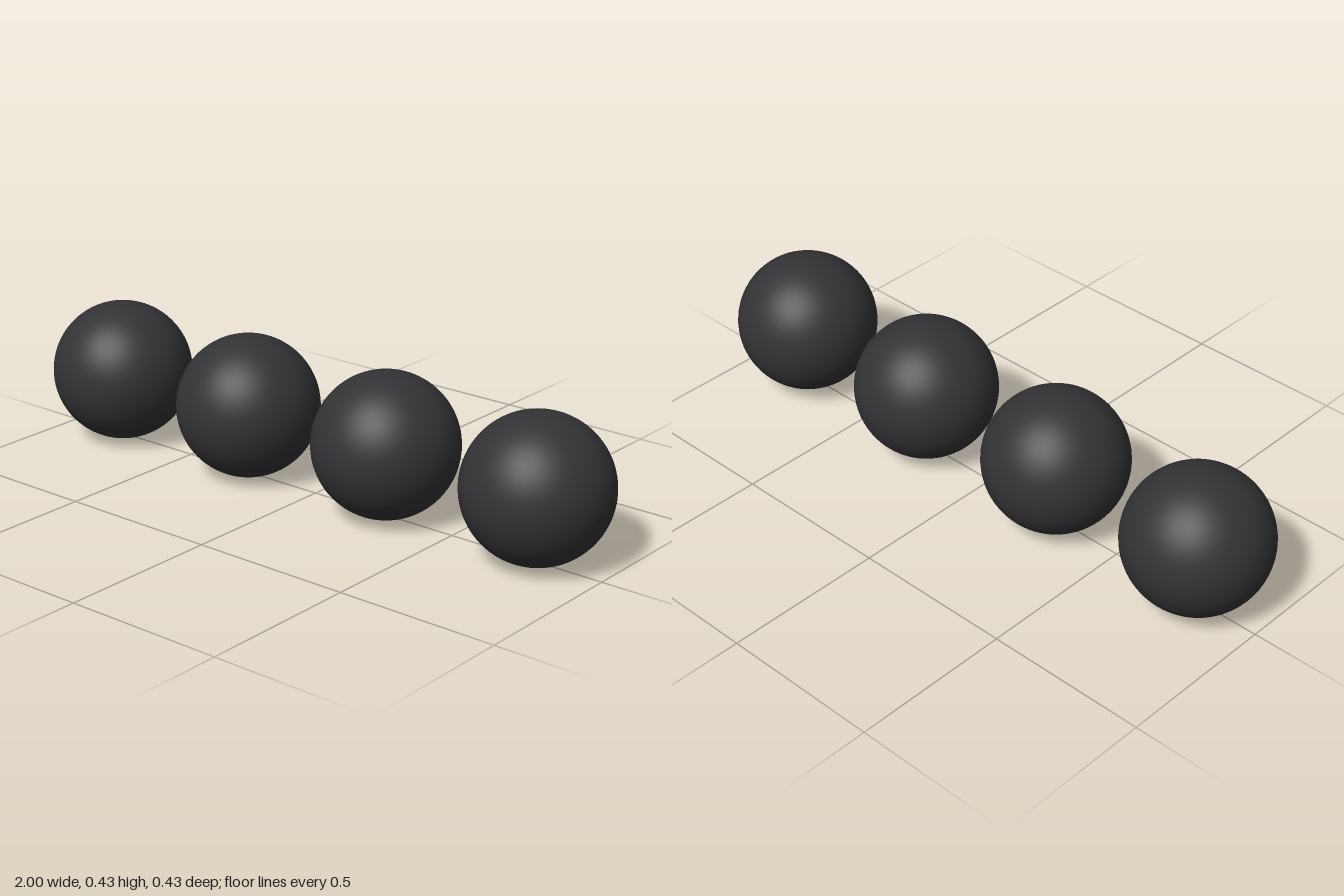
import * as THREE from 'three';

export function createModel() {
  const group = new THREE.Group();
  group.name = 'ballRow';

  const radius = 0.217;
  const count = 4;
  const spacing = (2 - 2 * radius) / (count - 1);

  const geometry = new THREE.SphereGeometry(radius, 64, 48);
  const material = new THREE.MeshStandardMaterial({ color: 0x333336 });

  // Four equal smooth balls in a straight row, resting on the ground
  for (let i = 0; i < count; i++) {
    const ball = new THREE.Mesh(geometry, material);
    ball.name = `ball${i + 1}`;
    ball.position.set(-1 + radius + i * spacing, radius, 0);
    group.add(ball);
  }
  return group;
}
